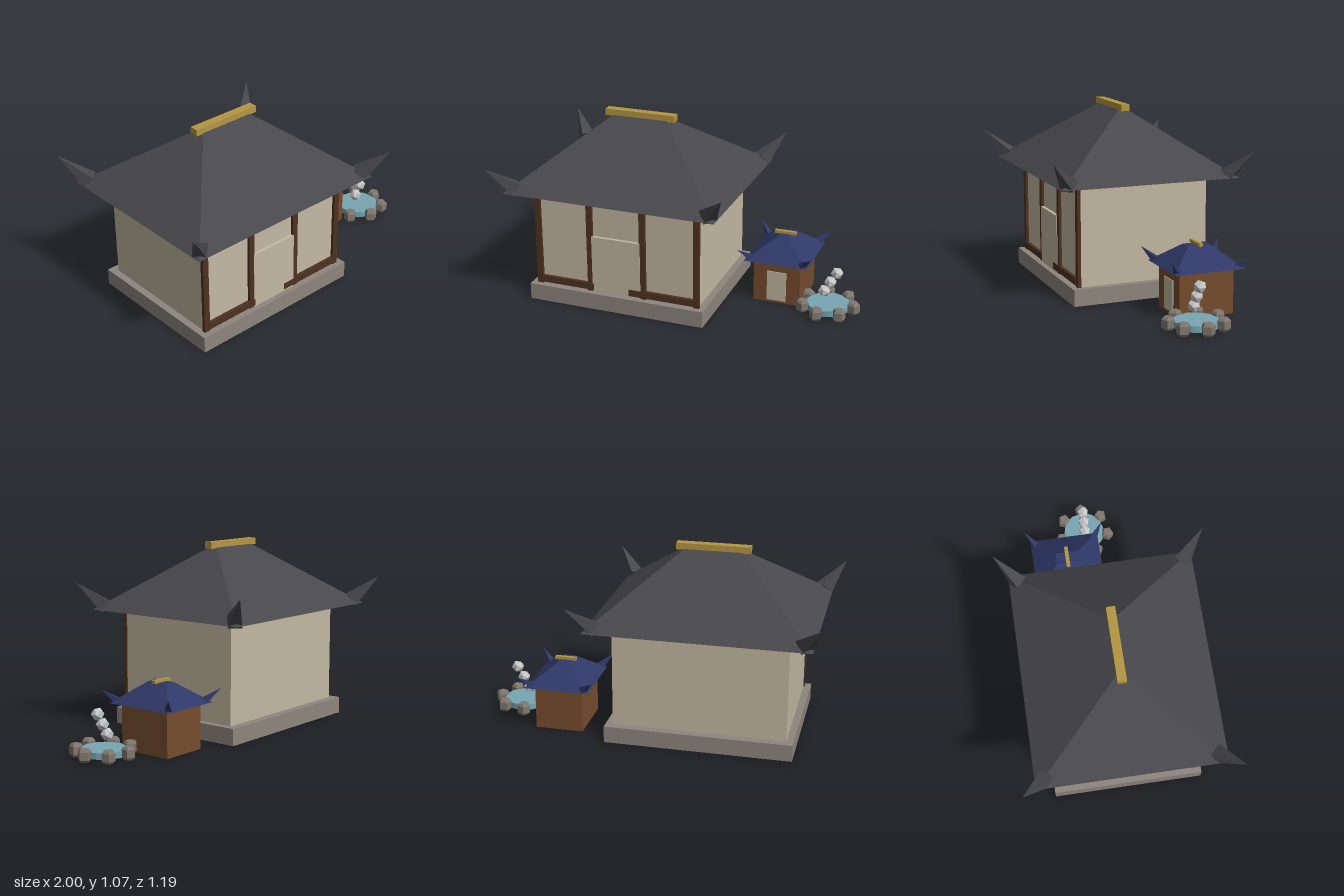
import * as THREE from 'three';

const mat = (name, color, flatShading = false) => {
  const m = new THREE.MeshStandardMaterial({ color, flatShading });
  m.name = name;
  return m;
};

export function createModel() {
  const root = new THREE.Group();
  const M = {
    stone: mat('foundationStone', 0x8e867e),
    wall: mat('plaster', 0xc3b9a2),
    wood: mat('darkWood', 0x4e3220),
    roof: mat('slateTiles', 0x48474c, true),
    gold: mat('goldRidge', 0xb59742),
    navy: mat('blueTiles', 0x2f3868, true),
    brown: mat('brownWood', 0x764c2d),
    water: mat('water', 0x78a6b2),
    rock: mat('rock', 0x7f786f, true),
    puff: mat('paleGrey', 0xc8c8c8, true),
  };

  const add = (parent, name, geo, material, x = 0, y = 0, z = 0) => {
    const mesh = new THREE.Mesh(geo, material);
    mesh.name = name;
    mesh.position.set(x, y, z);
    parent.add(mesh);
    return mesh;
  };
  // box given by its extents
  const box = (parent, name, material, x0, x1, y0, y1, z0, z1) =>
    add(parent, name, new THREE.BoxGeometry(x1 - x0, y1 - y0, z1 - z0), material,
      (x0 + x1) / 2, (y0 + y1) / 2, (z0 + z1) / 2);

  // hipped roof: a box whose top face is drawn in, plus an upswept spike on each corner
  function hipRoof(parent, material, { y0, y1, base, top, spikeBase, spikeTip, radius }) {
    const geo = new THREE.BoxGeometry(base[0] * 2, y1 - y0, base[1] * 2);
    const p = geo.attributes.position;
    for (let i = 0; i < p.count; i++) {
      if (p.getY(i) > 0) {
        p.setX(i, Math.sign(p.getX(i)) * top[0]);
        p.setZ(i, Math.sign(p.getZ(i)) * top[1]);
      }
    }
    geo.computeVertexNormals();
    add(parent, 'hippedRoof', geo, material, 0, (y0 + y1) / 2, 0);

    for (const sx of [-1, 1]) for (const sz of [-1, 1]) {
      const side = new THREE.Vector3(sx, 1, sz);
      const a = new THREE.Vector3(...spikeBase).multiply(side);
      const b = new THREE.Vector3(...spikeTip).multiply(side);
      const dir = b.clone().sub(a);
      const spike = add(parent, 'eaveSpike', new THREE.ConeGeometry(radius, dir.length(), 4), material);
      spike.position.copy(a).add(b).multiplyScalar(0.5);
      spike.quaternion.setFromUnitVectors(new THREE.Vector3(0, 1, 0), dir.normalize());
    }
  }

  // main hall
  const hall = new THREE.Group();
  hall.name = 'mainHall';
  hall.position.x = -0.31;
  root.add(hall);
  box(hall, 'foundation', M.stone, -0.53, 0.53, 0, 0.096, -0.433, 0.433);
  box(hall, 'walls', M.wall, -0.49, 0.49, 0.096, 0.68, -0.384, 0.384);
  for (const x of [-0.48, -0.16, 0.16, 0.48])
    box(hall, 'frontPost', M.wood, x - 0.018, x + 0.018, 0.096, 0.68, 0.38, 0.4);
  box(hall, 'leftRail', M.wood, 0.075, 0.47, 0.105, 0.145, 0.38, 0.404);
  box(hall, 'rightRail', M.wood, -0.47, -0.14, 0.105, 0.145, 0.38, 0.404);
  box(hall, 'frontDoor', M.wall, -0.147, 0.147, 0.096, 0.436, 0.384, 0.403);
  hipRoof(hall, M.roof, {
    y0: 0.677, y1: 1.04, base: [0.625, 0.528], top: [0.16, 0.02],
    spikeBase: [0.573, 0.695, 0.472], spikeTip: [0.69, 0.838, 0.597], radius: 0.055,
  });
  box(hall, 'ridgeBeam', M.gold, -0.21, 0.21, 1.032, 1.07, -0.025, 0.025);

  // small shrine
  const shrine = new THREE.Group();
  shrine.name = 'shrine';
  shrine.position.set(0.513, 0, -0.17);
  root.add(shrine);
  box(shrine, 'shrineWalls', M.brown, -0.138, 0.138, 0, 0.26, -0.16, 0.16);
  box(shrine, 'shrineDoor', M.wall, -0.057, 0.057, 0.015, 0.195, 0.158, 0.165);
  hipRoof(shrine, M.navy, {
    y0: 0.257, y1: 0.372, base: [0.185, 0.206], top: [0.033, 0.066],
    spikeBase: [0.15, 0.268, 0.178], spikeTip: [0.217, 0.333, 0.237], radius: 0.025,
  });
  box(shrine, 'shrineRidgeBeam', M.gold, -0.063, 0.063, 0.37, 0.388, -0.011, 0.011);

  // pond ringed with rocks
  const pond = new THREE.Group();
  pond.name = 'pond';
  pond.position.set(0.815, 0, -0.032);
  root.add(pond);
  add(pond, 'pondWater', new THREE.CylinderGeometry(0.125, 0.125, 0.035, 12), M.water, 0, 0.03, 0);
  const rockProfile = [[0, 0], [0.027, 0], [0.038, 0.014], [0.038, 0.056], [0.027, 0.07], [0, 0.07]]
    .map(([r, y]) => new THREE.Vector2(r, y));
  const rockGeo = new THREE.LatheGeometry(rockProfile, 5);
  for (let i = 0; i < 7; i++) {
    const a = (i / 7) * Math.PI * 2;
    const rock = add(pond, 'pondRock', rockGeo, M.rock, Math.cos(a) * 0.148, 0, Math.sin(a) * 0.148);
    rock.rotation.y = Math.PI / 2 - a;
  }

  // rising puffs above the pond
  [[0.79, 0.115], [0.824, 0.175], [0.86, 0.236]].forEach(([x, y]) =>
    add(root, 'puff', new THREE.IcosahedronGeometry(0.037, 0), M.puff, x, y, -0.03));

  return root;
}
